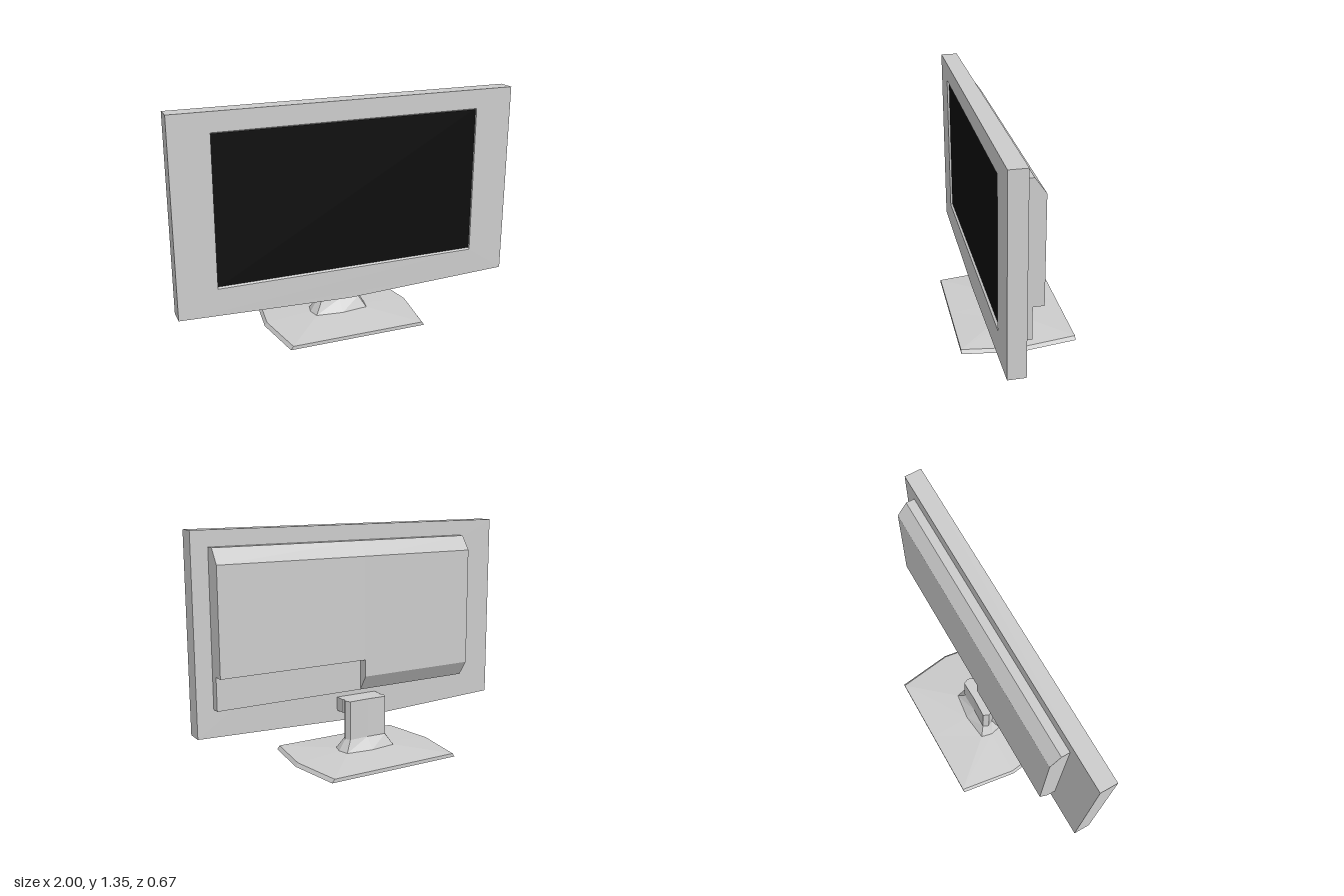
import * as THREE from 'three';

const grey = new THREE.MeshStandardMaterial({ color: 0xcccccc, flatShading: true });
const black = new THREE.MeshStandardMaterial({ color: 0x0d0d0d, flatShading: true });

const polygon = (pts) => new THREE.Shape(pts.map(([x, y]) => new THREE.Vector2(x, y)));

// Extrude an outline drawn in (x, y) from z0 to z1
function extrudeZ(shape, z0, z1) {
  return new THREE.ExtrudeGeometry(shape, { depth: z1 - z0, bevelEnabled: false }).translate(0, 0, z0);
}

// Extrude a side profile drawn in (z, y) from x0 to x1
function extrudeX(profile, x0, x1) {
  const shape = polygon(profile.map(([z, y]) => [-z, y]));
  return new THREE.ExtrudeGeometry(shape, { depth: x1 - x0, bevelEnabled: false })
    .rotateY(Math.PI / 2).translate(x0, 0, 0);
}

// Eight-point symmetric ring: side tips, corners and front/back middles
function ring(y, side, cornerX, cornerZ, midZ) {
  return [
    [side, 0], [cornerX, -cornerZ], [0, -midZ], [-cornerX, -cornerZ],
    [-side, 0], [-cornerX, cornerZ], [0, midZ], [cornerX, cornerZ],
  ].map(([x, z]) => [x, y, z]);
}

// Join stacked rings with quads and close both ends
function loft(rings) {
  const n = rings[0].length, pos = [];
  const tri = (...p) => p.forEach((v) => pos.push(...v));
  for (let r = 0; r + 1 < rings.length; r++) {
    const lo = rings[r], hi = rings[r + 1];
    for (let i = 0; i < n; i++) {
      const j = (i + 1) % n;
      tri(lo[i], lo[j], hi[j]);
      tri(lo[i], hi[j], hi[i]);
    }
  }
  const bottom = rings[0], top = rings[rings.length - 1];
  for (let i = 1; i + 1 < n; i++) {
    tri(top[0], top[i], top[i + 1]);
    tri(bottom[0], bottom[i + 1], bottom[i]);
  }
  const g = new THREE.BufferGeometry();
  g.setAttribute('position', new THREE.Float32BufferAttribute(pos, 3));
  g.computeVertexNormals();
  return g;
}

export function createModel() {
  const model = new THREE.Group();
  model.name = 'monitor';
  const add = (name, geometry, material = grey) => {
    const mesh = new THREE.Mesh(geometry, material);
    mesh.name = name;
    model.add(mesh);
  };

  // Front frame with a shallow V along its lower edge
  const W = 0.777, Y0 = 0.375, Y1 = 1.24;
  const frame = polygon([[-1, 0.225], [0, 0.19], [1, 0.225], [1, 1.35], [-1, 1.35]]);
  frame.holes.push(polygon([[-W, Y0], [-W, Y1], [W, Y1], [W, Y0]]));
  add('frame', extrudeZ(frame, 0.1, 0.2));

  // Recessed screen, its backing and the sloped lips above and below
  const opening = polygon([[-W, Y0], [W, Y0], [W, Y1], [-W, Y1]]);
  add('screenBacking', extrudeZ(opening, 0.1, 0.15));
  add('screen', extrudeZ(opening, 0.15, 0.188), black);
  add('upperLip', extrudeX([[0.2, Y1], [0.185, Y1], [0.185, Y1 - 0.01]], -W, W));
  add('lowerLip', extrudeX([[0.2, Y0], [0.185, Y0 + 0.01], [0.185, Y0]], -W, W));

  // Rear housing: full depth on one half, stepped in at the bottom on the other
  add('housing', extrudeX([
    [0.1, 0.38], [0.05, 0.38], [-0.01, 0.47], [-0.01, 1.175], [0.05, 1.26], [0.1, 1.26],
  ], -0.745, 0));
  add('steppedHousing', extrudeX([
    [0.1, 0.38], [0.05, 0.38], [0.05, 0.57], [-0.01, 0.57], [-0.01, 1.175], [0.05, 1.26], [0.1, 1.26],
  ], 0, 0.903));

  // Arm joining the neck to the frame
  add('arm', extrudeZ(polygon([
    [-0.13, 0.26], [0, 0.23], [0.13, 0.26], [0.13, 0.34], [-0.13, 0.34],
  ]), 0.03, 0.1));

  // Neck flaring out onto the base
  const foot = ring(0.043, 0.175, 0.16, 0.065, 0.085);
  add('neck', loft([
    foot,
    ring(0.11, 0.135, 0.12, 0.034, 0.03),
    ring(0.34, 0.135, 0.12, 0.034, 0.03),
  ]));

  // Base plate rising gently towards the neck
  add('base', loft([
    ring(0, 0.462, 0.415, 0.335, 0.335),
    ring(0.021, 0.448, 0.4, 0.335, 0.335),
    foot,
  ]));

  return model;
}
